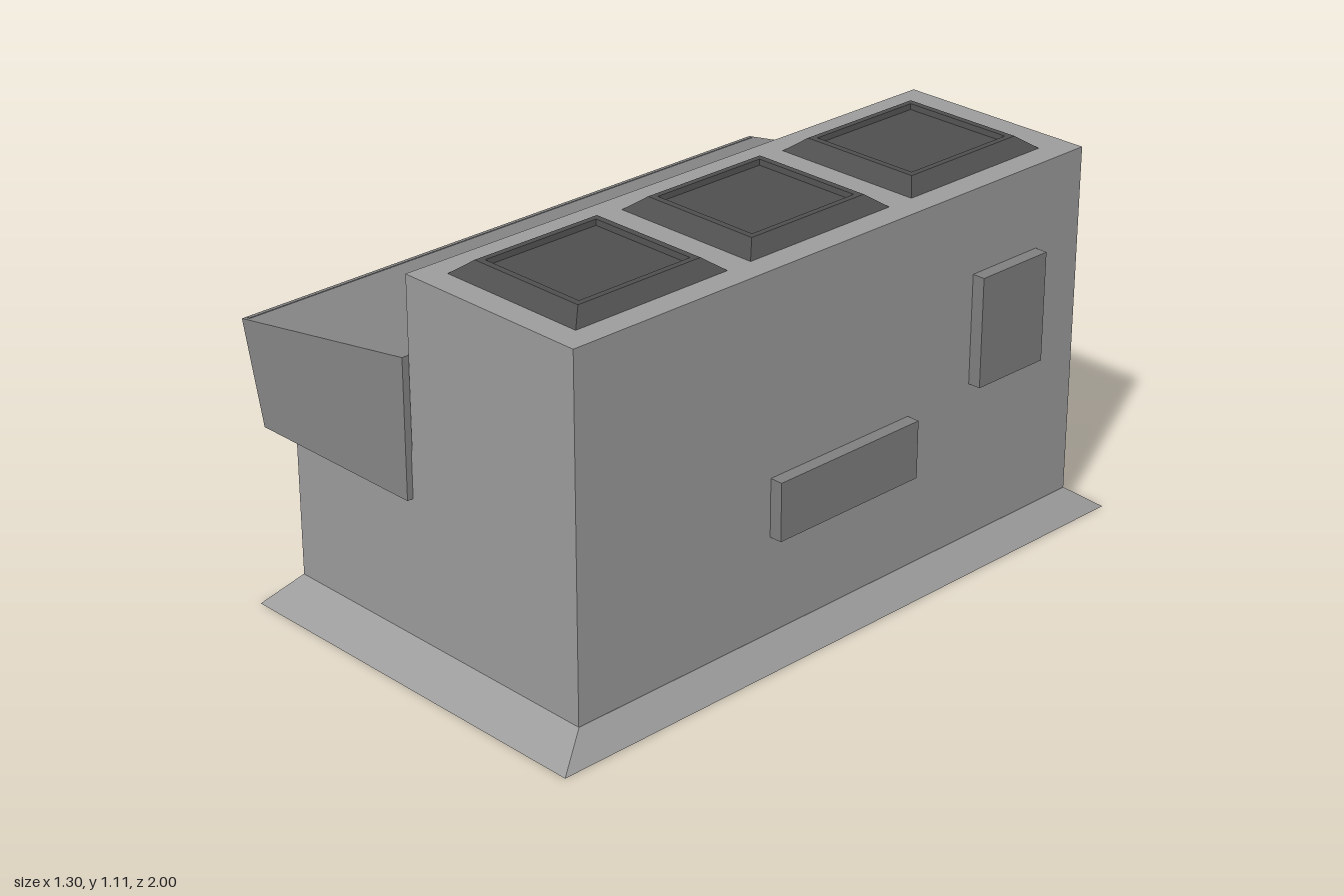
import * as THREE from 'three';

export function createModel() {
  const model = new THREE.Group();
  const paint = (color) => new THREE.MeshStandardMaterial({ color, flatShading: true });
  const wallGrey = paint(0x9d9d9d);
  const hoodGrey = paint(0x878787);
  const panelGrey = paint(0x808080);
  const hatchGrey = paint(0x4f4f4f);

  const add = (name, material, geometry, x = 0, y = 0, z = 0) => {
    const mesh = new THREE.Mesh(geometry, material);
    mesh.name = name;
    mesh.position.set(x, y, z);
    model.add(mesh);
    return mesh;
  };

  // Side profile extruded symmetrically along z
  const prism = (points, halfDepth) => {
    const shape = new THREE.Shape(points.map(([x, y]) => new THREE.Vector2(x, y)));
    return new THREE.ExtrudeGeometry(shape, { depth: 2 * halfDepth, bevelEnabled: false })
      .translate(0, 0, -halfDepth);
  };

  // Four-sided turned profile: [half width in x, height], stretched along z
  const squareLathe = (profile, stretchZ) =>
    new THREE.LatheGeometry(profile.map(([w, y]) => new THREE.Vector2(w * Math.SQRT2, y)), 4)
      .rotateY(Math.PI / 4)
      .scale(1, 1, stretchZ);

  const panel = (name, [x0, x1], [y0, y1], [z0, z1]) =>
    add(name, panelGrey, new THREE.BoxGeometry(x1 - x0, y1 - y0, z1 - z0),
      (x0 + x1) / 2, (y0 + y1) / 2, (z0 + z1) / 2);

  // Flared foot
  add('flaredBase', wallGrey,
    squareLathe([[0, 0], [0.589, 0], [0.53, 0.073], [0, 0.073]], 1.698), 0.059);

  // Stepped body
  add('body', wallGrey, prism([
    [-0.47, 0.07], [0.588, 0.07], [0.588, 1.073], [-0.005, 1.073], [-0.005, 0.6], [-0.47, 0.6],
  ], 0.9));

  // Overhanging hood, its slanted face set back behind the window frame
  const top = new THREE.Vector2(-0.65, 0.751);
  const bottom = new THREE.Vector2(-0.58, 0.467);
  const frameDepth = 0.02;
  const hoodHalf = 0.918;
  const capDepth = 0.01;
  const innerHalf = hoodHalf - capDepth;
  const hoodProfile = (setBack) => [
    [bottom.x + setBack, bottom.y], [-0.008, bottom.y], [-0.008, 0.857],
    [top.x + setBack, top.y + setBack * 0.165],
  ];
  add('hood', hoodGrey, prism(hoodProfile(0.0206), innerHalf));
  for (const side of [-1, 1]) {
    add('hoodEnd', hoodGrey, prism(hoodProfile(0), capDepth / 2),
      0, 0, side * (hoodHalf - capDepth / 2));
  }

  // Slanted frame with three window openings
  const height = top.distanceTo(bottom);
  const rect = (Type, x0, x1, y0, y1) => new Type([
    new THREE.Vector2(x0, y0), new THREE.Vector2(x1, y0),
    new THREE.Vector2(x1, y1), new THREE.Vector2(x0, y1),
  ]);
  const frameShape = rect(THREE.Shape, -innerHalf, innerHalf, 0, height);
  const pitch = (2 * hoodHalf) / 3;
  for (let i = -1; i <= 1; i++) {
    frameShape.holes.push(rect(THREE.Path,
      i * pitch - pitch / 2 + 0.03, i * pitch + pitch / 2 - 0.03, 0.035, height - 0.035));
  }
  const frame = add('windowFrame', hoodGrey,
    new THREE.ExtrudeGeometry(frameShape, { depth: frameDepth, bevelEnabled: false })
      .translate(0, 0, -frameDepth)
      .rotateY(-Math.PI / 2),
    bottom.x, bottom.y, 0);
  frame.rotation.z = Math.atan2(bottom.x - top.x, top.y - bottom.y);

  // Roof hatches with a shallow sunken panel
  for (const z of [-0.564, 0.01, 0.58]) {
    add('roofHatch', hatchGrey, squareLathe([
      [0.226, 0], [0.182, 0.035], [0.165, 0.035], [0.162, 0.02], [0, 0.02],
    ], 1.09), 0.29, 1.073, z);
  }

  // Raised panels on the left side
  panel('lowerSidePanel', [0.58, 0.625], [0.347, 0.511], [-0.25, 0.25]);
  panel('upperSidePanel', [0.58, 0.625], [0.525, 0.836], [-0.73, -0.484]);

  // Raised panels on the back
  panel('tallBackPanel', [0.065, 0.257], [0.443, 0.99], [-0.933, -0.89]);
  panel('shortBackPanel', [0.317, 0.507], [0.73, 0.99], [-0.933, -0.89]);

  return model;
}
